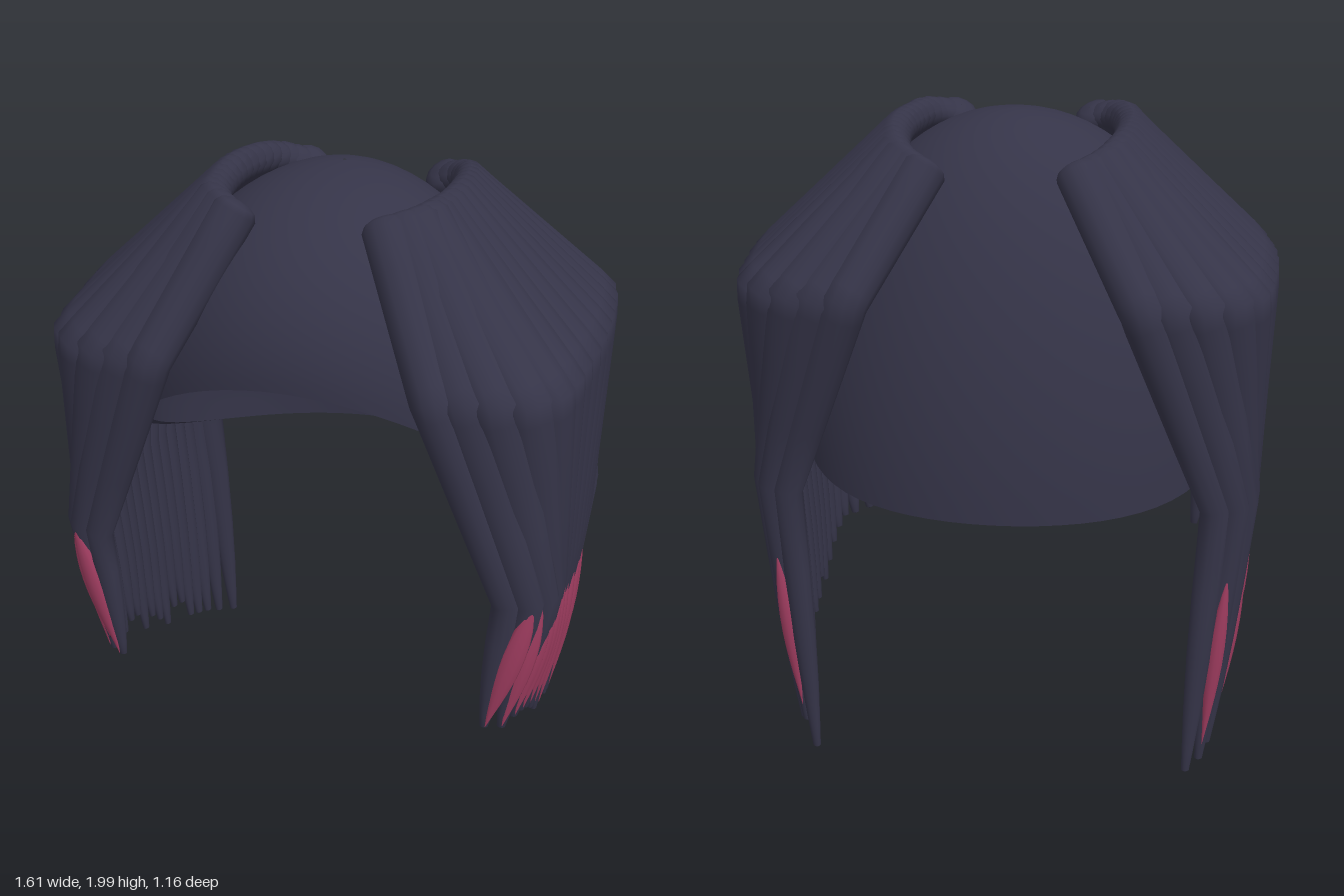
import * as THREE from 'three';
import { mergeGeometries } from 'three/addons/utils/BufferGeometryUtils.js';

const V = (x, y, z) => new THREE.Vector3(x, y, z);
const lerp = THREE.MathUtils.lerp;
const noise = (i) => { const s = Math.sin(i * 12.9898 + 4.1) * 43758.5453; return s - Math.floor(s); };

// Skin a list of closed rings that all have the same number of points
function loft(rings) {
  const n = rings[0].length, pos = [], index = [];
  rings.forEach((ring) => ring.forEach((p) => pos.push(p.x, p.y, p.z)));
  for (let j = 0; j < rings.length - 1; j++) {
    for (let k = 0; k < n; k++) {
      const a = j * n + k, b = j * n + (k + 1) % n;
      index.push(a, b, a + n, b, b + n, a + n);
    }
  }
  const g = new THREE.BufferGeometry();
  g.setAttribute('position', new THREE.Float32BufferAttribute(pos, 3));
  g.setIndex(index);
  g.computeVertexNormals();
  return g;
}

// Sweep an elliptical section along keys {p, w, d}; side is the width direction
function sweep(keys, side, sides = 12) {
  return loft(keys.map(({ p, w, d }, i) => {
    const t = keys[Math.min(i + 1, keys.length - 1)].p.clone().sub(keys[Math.max(i - 1, 0)].p).normalize();
    const u = side.clone().addScaledVector(t, -side.dot(t)).normalize();
    const v = t.clone().cross(u);
    return Array.from({ length: sides }, (_, k) => {
      const a = (k / sides) * Math.PI * 2;
      return p.clone().addScaledVector(u, Math.cos(a) * w).addScaledVector(v, Math.sin(a) * d);
    });
  }));
}

// Cap: a dome whose rim rises from the back to a high arch at the front
function capGeometry() {
  const N = 64, M = 24;
  const ring = (lat, inset, lift = 0) => Array.from({ length: N }, (_, k) => {
    const phi = -(k / N) * Math.PI * 2;
    const rim = 0.88 + lift + 0.62 * Math.pow((1 + Math.cos(phi)) / 2, 2.1);
    const top = 1.995 - inset;
    const y = top - (top - rim) * (1 - Math.cos(lat));
    const s = Math.sin(lat);
    return V((0.665 - inset) * s * Math.sin(phi), y, (0.545 - inset) * s * Math.cos(phi));
  });
  const lat = (j) => lerp(0.008, Math.PI / 2, j / M);
  const outer = [], inner = [];
  for (let j = 0; j <= M; j++) {
    outer.push(ring(lat(j), 0));
    inner.unshift(ring(lat(j), 0.025, 0.012));
  }
  return mergeGeometries([loft(outer), loft([outer[M], inner[0]]), loft(inner)]);
}

// Guide rows, front to back, that every strand passes through
const row = (pts) => new THREE.CatmullRomCurve3(pts.map((p) => V(...p)));
const rows = {
  root: row([[0.205, 1.95, 0.305], [0.27, 1.962, 0.25], [0.305, 1.96, 0.13], [0.315, 1.957, 0],
    [0.305, 1.945, -0.13], [0.27, 1.92, -0.25], [0.205, 1.89, -0.305]]),
  bend: row([[0.415, 1.53, 0.517], [0.58, 1.53, 0.50], [0.705, 1.53, 0.43], [0.745, 1.54, 0.2], [0.757, 1.55, 0],
    [0.745, 1.54, -0.2], [0.705, 1.53, -0.40], [0.58, 1.53, -0.485], [0.415, 1.53, -0.517]]),
  low: row([[0.643, 0.9, 0.48], [0.72, 0.9, 0.45], [0.743, 0.9, 0.2], [0.748, 0.9, 0],
    [0.738, 0.9, -0.2], [0.713, 0.9, -0.36], [0.643, 0.9, -0.40]]),
  tip: row([[0.595, 0.44, 0.485], [0.655, 0.40, 0.44], [0.69, 0.32, 0.22], [0.69, 0.21, 0.03],
    [0.68, 0.12, -0.17], [0.64, 0.02, -0.36], [0.59, 0.003, -0.425]]),
};

const STRANDS = 18;

// One side of hair: dark strands and the bright streaks lying over their ends
function hairSide(s) {
  const dark = [], bright = [];
  for (let i = 0; i < STRANDS; i++) {
    const f = i / (STRANDS - 1);
    const at = (r, u = f) => { const p = rows[r].getPointAt(u); p.x *= s; return p; };
    const side = rows.bend.getTangentAt(f).lerp(V(0, 0, -1), 0.15);
    side.x *= s;
    side.multiplyScalar(s);
    const [root, bend, low, tip] = ['root', 'bend', 'low', 'tip'].map((r) => at(r));
    if (i > 0 && i < STRANDS - 1) tip.y += 0.08 * noise(i + (s > 0 ? 0 : 40)) - 0.01;

    const edge = i === 0 || i === STRANDS - 1;
    const w = edge ? 0.068 : 0.074, d = edge ? 0.062 : 0.05;
    const keys = [];
    const add = (a, b, t, kw, kd) => keys.push({ p: a.clone().lerp(b, t), w: kw, d: kd });
    // Rounded root, then the slope out to the bend
    [[0, 0.02], [0.006, 0.5], [0.025, 0.82], [0.06, 1]].forEach(([t, k]) => add(root, bend, t, w * k, d * k));
    [0.3, 0.6, 0.93].forEach((t) => add(root, bend, t, w, d));
    add(root, bend, 1, w, d);
    // Drop from the bend to the low row
    [0.06, 0.35, 0.65, 1].forEach((t) => add(bend, low, t, lerp(w, 0.048, t), lerp(d, 0.038, t)));
    // Tapered end
    [[0.3, 0.95], [0.55, 0.82], [0.75, 0.63], [0.9, 0.42], [0.99, 0.28], [1, 0.01]]
      .forEach(([t, k]) => add(low, tip, t, 0.046 * k, 0.036 * k));
    dark.push(sweep(keys, side));

    // Streaks: close together at the front, where they fan in from the corner
    if (i < 7 || (i % 2 === 0 && i < STRANDS - 1)) {
      const top = at('low', f + 0.07 * Math.pow(1 - f, 5));
      const dir = tip.clone().sub(top).normalize();
      const out = dir.clone().cross(side).normalize();
      const yTop = lerp(0.92, 0.67, f), yEnd = tip.y + lerp(0.01, 0.07, f);
      const tOf = (y) => (top.y - y) / (top.y - tip.y);
      const streak = [];
      for (let j = 0; j <= 10; j++) {
        const t = j / 10, k = Math.max(0.02, Math.sin(Math.PI * Math.pow(t, 0.85)));
        const p = top.clone().lerp(tip, tOf(lerp(yTop, yEnd, t)));
        p.addScaledVector(out, lerp(0.032, 0.014, t));
        streak.push({ p, w: lerp(0.036, 0.025, f) * k, d: 0.022 * k });
      }
      bright.push(sweep(streak, side, 10));
    }
  }
  return { dark: mergeGeometries(dark), bright: mergeGeometries(bright) };
}

export function createModel() {
  const model = new THREE.Group();
  model.name = 'hair';
  const darkHair = new THREE.MeshStandardMaterial({ color: 0x353448 });
  darkHair.name = 'darkHair';
  const brightHair = new THREE.MeshStandardMaterial({ color: 0x9e3c5f });
  brightHair.name = 'brightHair';

  const add = (geometry, material, name) => {
    const mesh = new THREE.Mesh(geometry, material);
    mesh.name = name;
    model.add(mesh);
  };

  add(capGeometry(), darkHair, 'cap');
  for (const [s, label] of [[1, 'left'], [-1, 'right']]) {
    const { dark, bright } = hairSide(s);
    add(dark, darkHair, label + 'Strands');
    add(bright, brightHair, label + 'Streaks');
  }
  return model;
}
